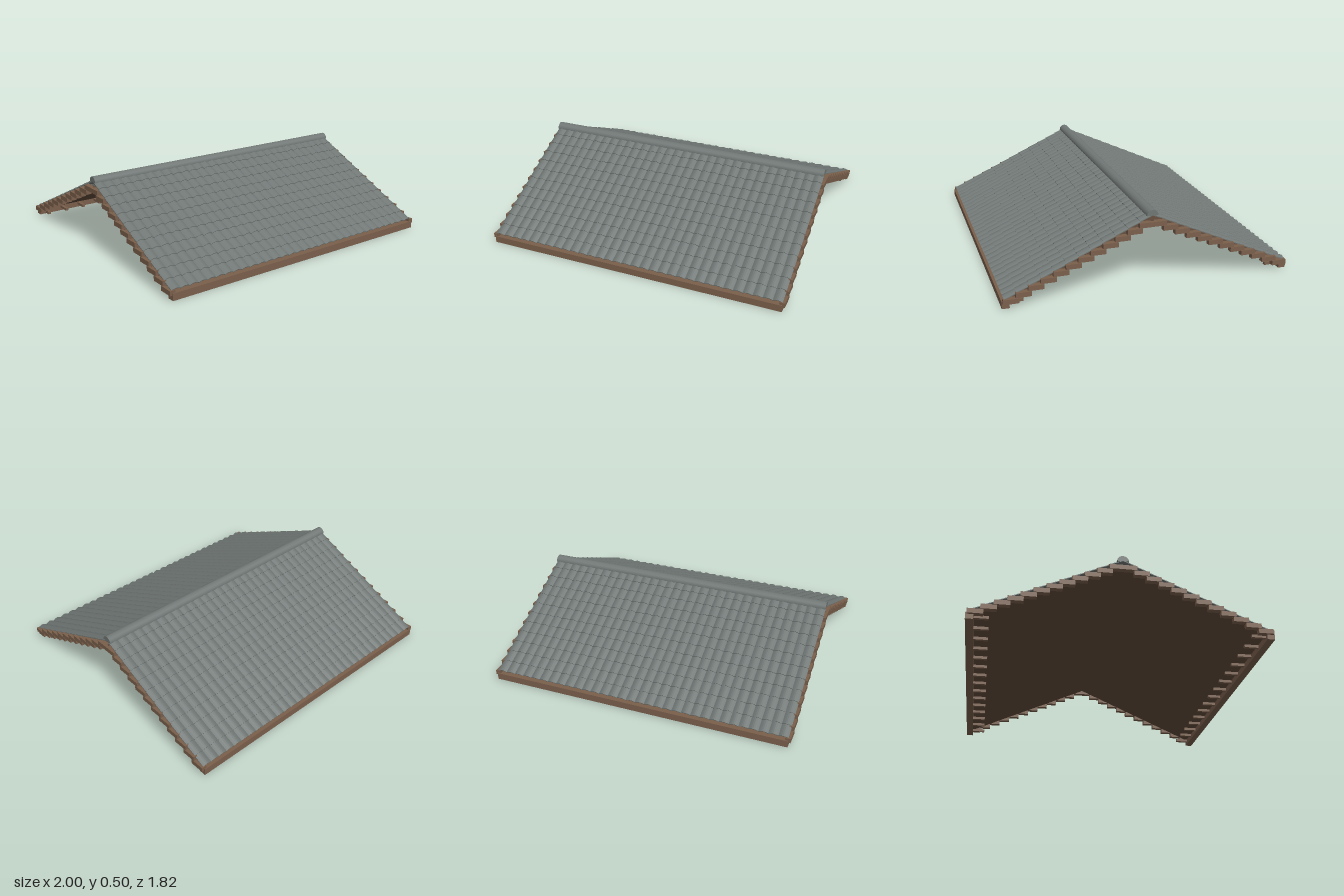
import * as THREE from 'three';

const ROWS = 12, COLS = 32, HALF = 0.985;

// One course of barrel tiles: a scalloped strip extruded down the slope
function tileCourse(length) {
  const w = (2 * HALF) / COLS, seg = 6, sag = 0.011, thick = 0.005;
  const pts = [];
  for (let i = 0; i <= COLS * seg; i++) {
    const t = (i % seg) / seg;
    pts.push(new THREE.Vector2(-HALF + (i * w) / seg, sag * Math.sin(Math.PI * t)));
  }
  const lower = pts.map(p => new THREE.Vector2(p.x, p.y - thick)).reverse();
  return new THREE.ExtrudeGeometry(new THREE.Shape([...pts, ...lower]), { depth: length, bevelEnabled: false });
}

export function createModel() {
  const tile = new THREE.MeshStandardMaterial({ color: 0x707775 });
  tile.name = 'slate grey tile';
  const wood = new THREE.MeshStandardMaterial({ color: 0x7a5f4b });
  wood.name = 'brown timber';
  const lining = new THREE.MeshStandardMaterial({ color: 0x604b3b });
  lining.name = 'dark timber lining';

  const model = new THREE.Group();
  model.name = 'tiledRoof';

  function box(parent, name, mat, size, pos) {
    const m = new THREE.Mesh(new THREE.BoxGeometry(...size), mat);
    m.name = name;
    m.position.set(...pos);
    parent.add(m);
    return m;
  }

  const pitch = Math.atan2(0.41, 0.89);
  const step = 0.98 / ROWS;
  const course = tileCourse(step + 0.006);

  for (const side of [0, 1]) {
    const half = new THREE.Group();
    half.name = side ? 'backSlope' : 'frontSlope';
    half.rotation.y = side * Math.PI;
    model.add(half);

    // Overlapping tile courses, each tipped up a little at its lower end
    const tiles = new THREE.Group();
    tiles.name = 'tiles';
    tiles.position.y = 0.47;
    tiles.rotation.x = pitch;
    for (let r = 0; r < ROWS; r++) {
      const row = new THREE.Mesh(course, tile);
      row.name = 'tileCourse';
      row.position.set(0, -0.002, r * step);
      row.rotation.x = -0.05;
      tiles.add(row);
    }
    half.add(tiles);

    // Flat lining under the tiles
    const lean = Math.atan2(0.0333, 0.0745);
    const board = box(half, 'lining', lining, [1.96, 0.006, 0.955], [0, 0.234, 0.435]);
    board.rotation.x = lean;

    // Stepped boards along both gable ends
    for (const sx of [-1, 1])
      for (let k = 0; k < ROWS; k++)
        box(half, 'gableStep', wood, [0.035, 0.03, 0.094],
          [sx * 0.9825, 0.412 - 0.0333 * k, 0.037 + 0.0745 * k]);

    // Eave board and the short rafter tails behind it
    box(half, 'eaveBoard', wood, [2 * HALF, 0.045, 0.046], [0, 0.0225, 0.887]);
    for (let i = 0; i < 15; i++)
      box(half, 'rafterTail', wood, [0.02, 0.018, 0.11], [-0.95 + (i * 1.9) / 14, 0.029, 0.832]);
  }

  // Half-round ridge cap
  const arc = new THREE.Shape();
  arc.absarc(0, 0, 0.036, 0, Math.PI, false);
  arc.closePath();
  const capGeo = new THREE.ExtrudeGeometry(arc, { depth: 2 * HALF, bevelEnabled: false, curveSegments: 12 });
  const cap = new THREE.Mesh(capGeo, tile);
  cap.name = 'ridgeCap';
  cap.rotation.y = Math.PI / 2;
  cap.position.set(-HALF, 0.462, 0);
  model.add(cap);

  return model;
}
